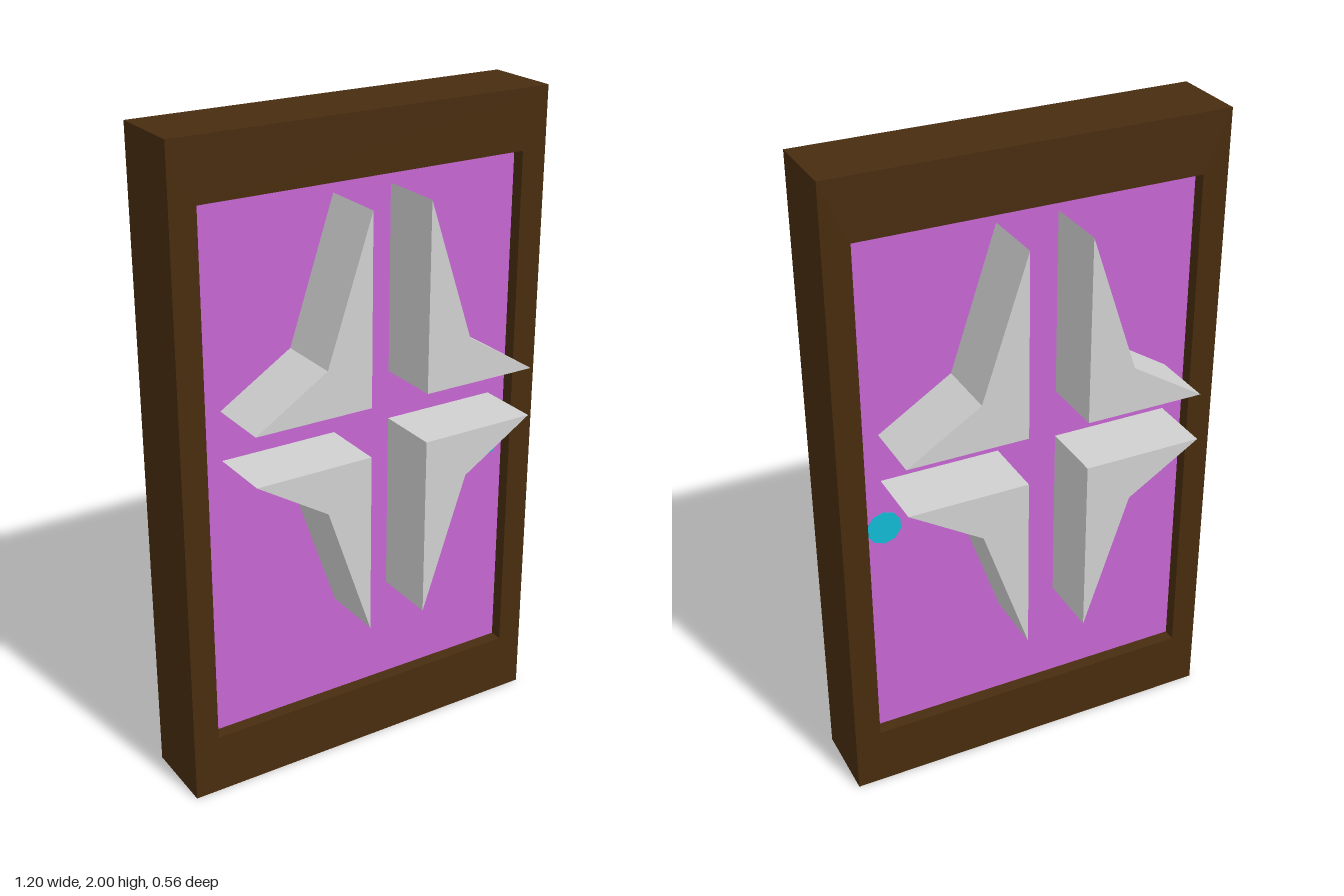
import * as THREE from 'three';

const mat = (name, color) => {
  const m = new THREE.MeshStandardMaterial({ color });
  m.name = name;
  return m;
};

// Straight extrusion centred on z = 0
function slab(shape, depth) {
  const g = new THREE.ExtrudeGeometry(shape, { depth, bevelEnabled: false });
  return g.translate(0, 0, -depth / 2);
}

const polygon = (points) => new THREE.Shape(points.map(([x, y]) => new THREE.Vector2(x, y)));

export function createModel() {
  const group = new THREE.Group();
  const wood = mat('dark brown wood', 0x482c0e);
  const purple = mat('purple panel', 0xc566d1);
  const grey = mat('light grey', 0xd0d0d0);
  const teal = mat('teal', 0x10b9d2);

  const add = (name, geometry, material) => {
    const mesh = new THREE.Mesh(geometry, material);
    mesh.name = name;
    group.add(mesh);
    return mesh;
  };

  // Door frame with a rectangular opening
  const outline = polygon([[-0.6, 0], [0.6, 0], [0.6, 2], [-0.6, 2]]);
  outline.holes.push(polygon([[-0.52, 0.19], [-0.52, 1.82], [0.52, 1.82], [0.52, 0.19]]));
  add('frame', slab(outline, 0.24), wood);

  // Recessed panel
  const panel = add('panel', new THREE.BoxGeometry(1.04, 1.63, 0.16), purple);
  panel.position.set(0, 1.005, 0);

  // Four star quarters running right through the panel
  for (const side of [-1, 1]) {
    for (const [half, inner, elbow, tip] of [['upper', 1.22, 1.36, 1.78], ['lower', 1.07, 0.93, 0.515]]) {
      const points = [[0.093, inner], [0.457, inner], [0.234, elbow], [0.093, tip]]
        .map(([x, y]) => [side * x + 0.003, y]);
      add(`${half}${side > 0 ? 'Left' : 'Right'}StarQuarter`, slab(polygon(points), 0.56), grey);
    }
  }

  // Round door knob, almost flush on both faces
  const knob = add('knob', new THREE.CylinderGeometry(0.053, 0.053, 0.164, 10).rotateX(Math.PI / 2), teal);
  knob.position.set(0.457, 0.91, 0);

  return group;
}
